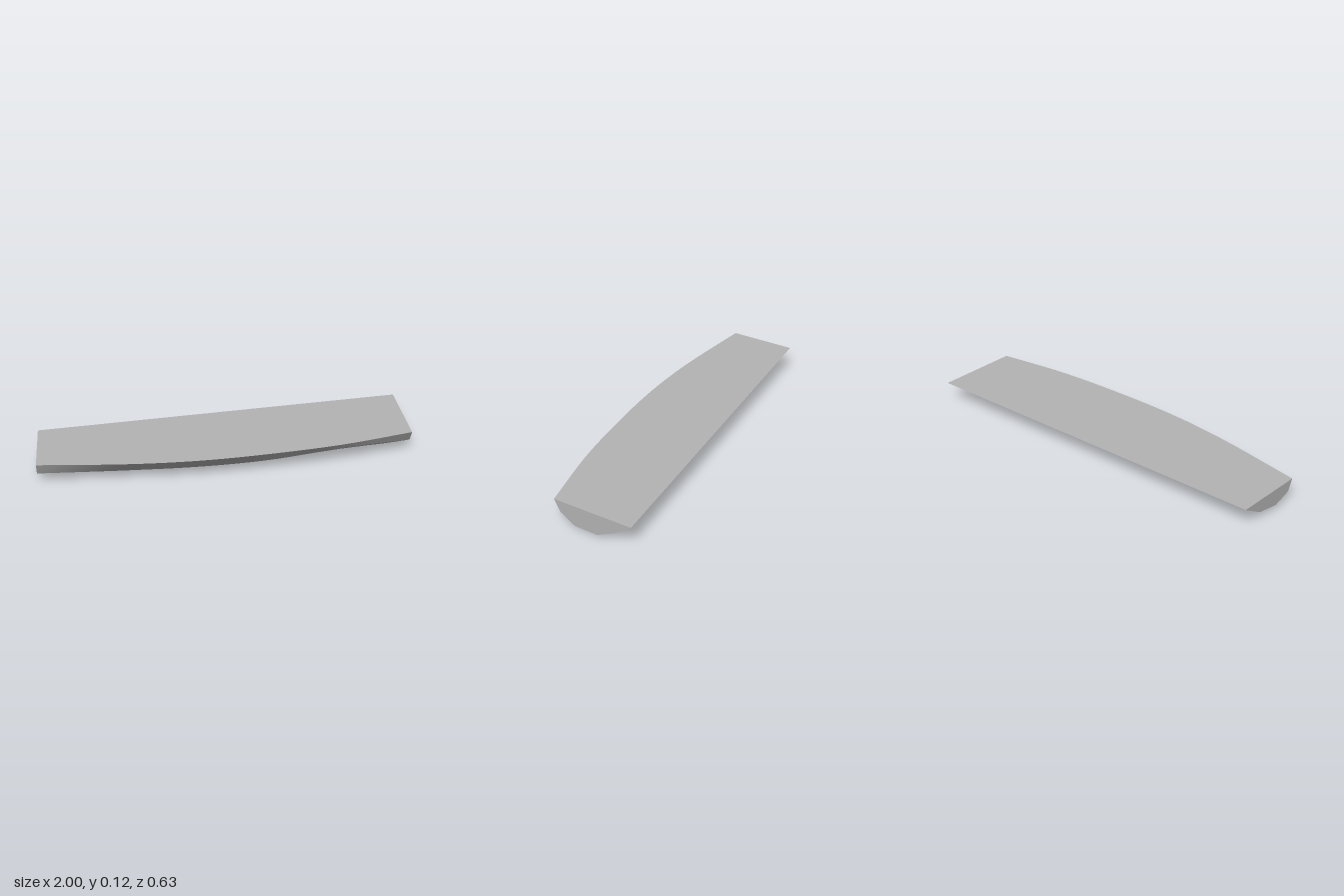
import * as THREE from 'three';

const STEPS = 24;
const TOP = 0.125;

// Lengthwise edges as [x, y, z] points, ordered around the section from the
// front rim, under the hull, to the back rim.
const RAILS = [
  [[-1, TOP, 0.27], [-0.5, TOP, 0.312], [-0.15, TOP, 0.314], [0.2, TOP, 0.285], [0.6, TOP, 0.228], [1, TOP, 0.133]],
  [[-1, 0.06, 0.243], [-0.5, 0.053, 0.25], [-0.15, 0.052, 0.25], [0.2, 0.06, 0.236], [0.65, 0.09, 0.195], [1, 0.06, 0.097]],
  [[-1, 0.026, 0.145], [-0.5, 0.021, 0.135], [0, 0.014, 0.108], [0.5, 0.006, 0.065], [0.85, 0.001, 0.025], [1, 0.009, 0.013]],
  [[-1, 0.05, 0.014], [0, 0.023, -0.05], [1, 0.007, -0.118]],
  [[-1, 0.087, -0.045], [0, 0.07, -0.132], [1, 0.057, -0.22]],
  [[-1, TOP, -0.104], [0, TOP, -0.21], [1, TOP, -0.316]],
].map((points) => new THREE.CatmullRomCurve3(points.map((p) => new THREE.Vector3(...p))).getPoints(STEPS));

function surface(points, index) {
  const geometry = new THREE.BufferGeometry().setFromPoints(points);
  geometry.setIndex(index);
  geometry.computeVertexNormals();
  return geometry;
}

// Ruled surface between two edges, smooth along its length
function strip(a, b) {
  const index = [];
  const n = STEPS + 1;
  for (let i = 0; i < STEPS; i++) {
    index.push(i, n + i, i + 1, i + 1, n + i, n + i + 1);
  }
  return surface([...a, ...b], index);
}

// Flat end closing the section
function cap(ring) {
  const index = [];
  for (let i = 1; i < ring.length - 1; i++) index.push(0, i, i + 1);
  return surface(ring, index);
}

export function createModel() {
  const group = new THREE.Group();
  group.name = 'hull';
  const grey = new THREE.MeshStandardMaterial({ color: 0xb4b4b4 });
  grey.name = 'grey';
  const add = (name, geometry) => {
    const mesh = new THREE.Mesh(geometry, grey);
    mesh.name = name;
    group.add(mesh);
  };

  // Side and bottom panels, then the flat deck joining both rims
  const names = ['frontUpperSide', 'frontLowerSide', 'bottom', 'backLowerSide', 'backUpperSide', 'deck'];
  names.forEach((name, i) => add(name, strip(RAILS[i], RAILS[(i + 1) % RAILS.length])));

  // End faces
  add('leftEnd', cap(RAILS.map((rail) => rail[STEPS])));
  add('rightEnd', cap(RAILS.map((rail) => rail[0]).reverse()));
  return group;
}
